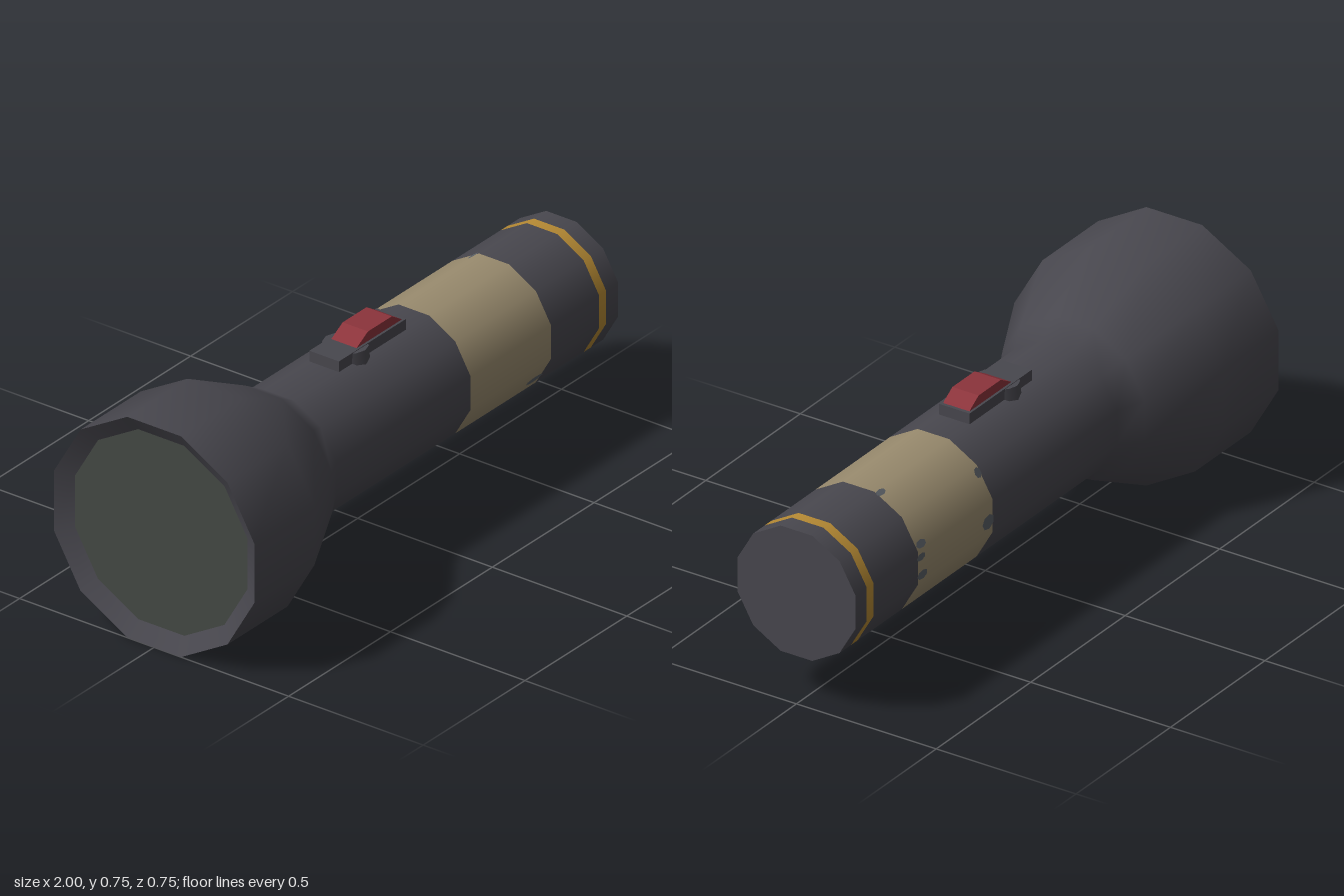
import * as THREE from 'three';

const SIDES = 12;
const AXIS_Y = 0.374;      // height of the torch axis
const HEAD_R = 0.386;      // corner radius of the head
const BODY_R = 0.2185;     // corner radius of the barrel
const APOTHEM = BODY_R * Math.cos(Math.PI / SIDES);

const paint = (name, color) => {
  const m = new THREE.MeshStandardMaterial({ color });
  m.name = name;
  return m;
};

export function createModel() {
  const casing = paint('casing charcoal', 0x48474e);
  const tan = paint('tan band', 0x998b6e);
  const ochre = paint('ochre ring', 0xb68a34);
  const red = paint('switch red', 0x8c343c);
  const glass = paint('lens grey', 0x444844);
  const worn = paint('worn paint grey', 0x5b6066);

  const model = new THREE.Group();
  model.name = 'flashlight';
  const add = (name, geometry, material, parent = model) => {
    const mesh = new THREE.Mesh(geometry, material);
    mesh.name = name;
    parent.add(mesh);
    return mesh;
  };

  // Twelve-sided turned parts; the profile is a list of [x, radius]
  const turned = (name, profile, material) => {
    const pts = profile.map(([x, r]) => new THREE.Vector2(r, x));
    const g = new THREE.LatheGeometry(pts, SIDES, Math.PI / SIDES);
    g.rotateZ(-Math.PI / 2);
    g.translate(0, AXIS_Y, 0);
    return add(name, g, material);
  };

  // Head, neck and barrel
  turned('headAndNeck', [[-1, HEAD_R], [-0.705, HEAD_R], [-0.465, 0.265], [-0.385, BODY_R], [0.275, BODY_R]], casing);
  turned('gripBand', [[0.275, BODY_R], [0.67, BODY_R]], tan);
  turned('rearBarrel', [[0.67, BODY_R], [0.905, BODY_R]], casing);
  turned('rearRing', [[0.905, BODY_R], [0.94, BODY_R]], ochre);
  turned('tailBarrel', [[0.94, BODY_R], [1, BODY_R]], casing);
  turned('tailCap', [[1, BODY_R], [1, 0]], casing);

  // Recessed lens
  turned('reflectorRim', [[-0.965, HEAD_R * 0.86], [-1, HEAD_R]], casing);
  turned('lens', [[-0.965, 0], [-0.965, HEAD_R * 0.86]], glass);

  // Worn paint chips: [x, offset across the facet, facet angle from +z, length, width]
  const chips = [
    [0.634, -0.018, -30, 0.08, 0.03],
    [0.645, 0.042, 150, 0.05, 0.026],
    [0.655, -0.044, 120, 0.045, 0.022],
    [0.648, 0.03, 180, 0.055, 0.03],
    [0.655, -0.032, 180, 0.045, 0.026],
    [0.3, 0.01, 180, 0.06, 0.05],
    [0.287, -0.035, 150, 0.03, 0.035],
  ];
  for (const [x, across, angle, length, width] of chips) {
    const facet = new THREE.Group();
    facet.name = 'wornFacet';
    facet.position.y = AXIS_Y;
    facet.rotation.x = -THREE.MathUtils.degToRad(angle);
    model.add(facet);
    const g = new THREE.CircleGeometry(0.5, 7);
    g.scale(length, width, 1);
    g.translate(x, across, APOTHEM + 0.002);
    add('paintChip', g, worn, facet);
  }

  // Switch plate and its round boss
  const plate = new THREE.BoxGeometry(0.33, 0.045, 0.11);
  plate.translate(0, 0.5985, 0);
  add('switchPlate', plate, casing);
  const boss = new THREE.CylinderGeometry(0.073, 0.077, 0.046, 12);
  boss.scale(0.85, 1, 1);
  boss.translate(-0.06, 0.596, 0);
  add('switchBoss', boss, casing);

  // Sloped slider
  const outline = new THREE.Shape([
    [-0.07, 0.62], [0.155, 0.62], [0.148, 0.626], [0.105, 0.653], [-0.012, 0.653],
  ].map(([x, y]) => new THREE.Vector2(x, y)));
  const slider = new THREE.ExtrudeGeometry(outline, { depth: 0.094, bevelEnabled: false });
  slider.translate(0, 0, -0.047);
  add('switchSlider', slider, red);

  return model;
}
